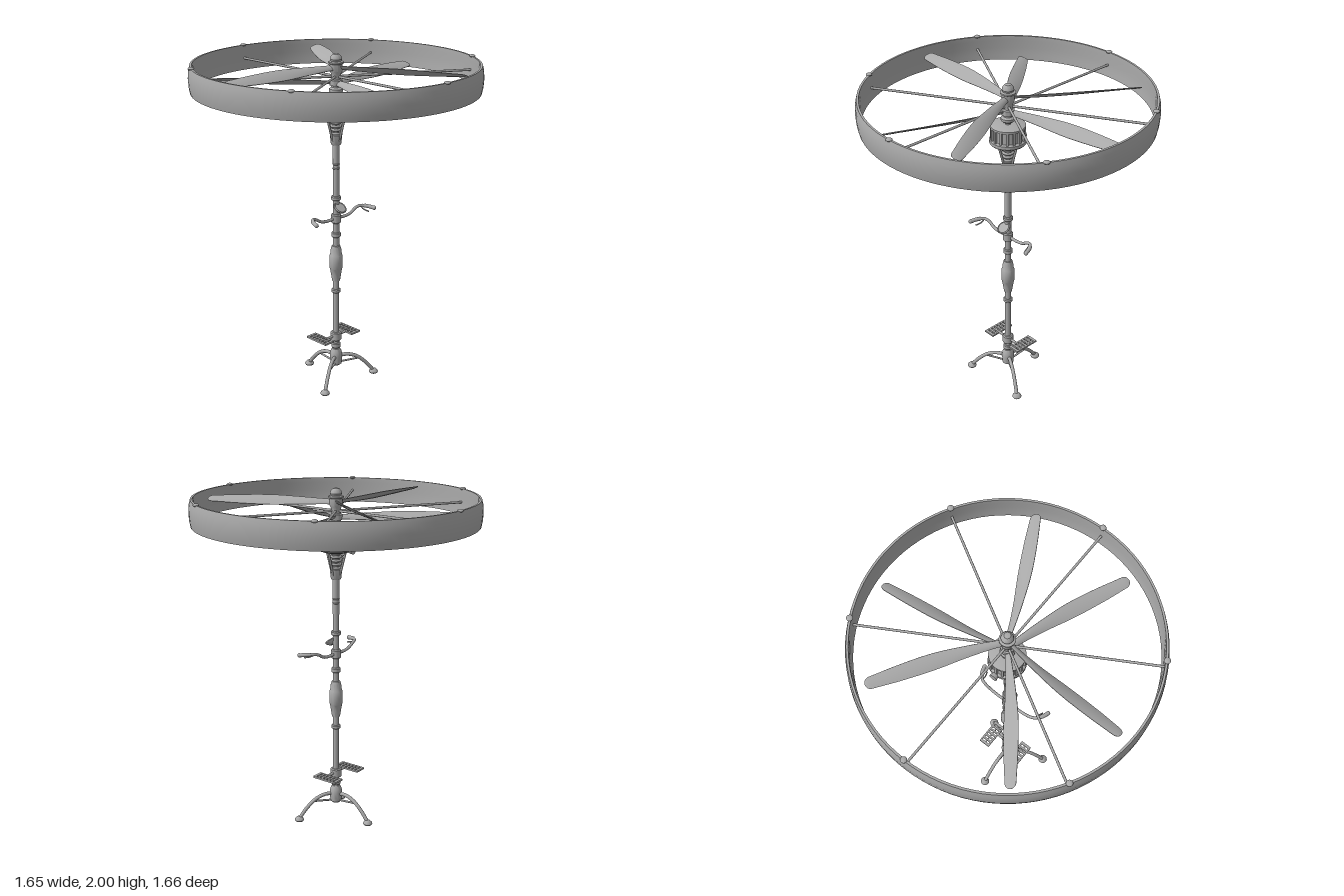
import * as THREE from 'three';
import { toCreasedNormals } from 'three/addons/utils/BufferGeometryUtils.js';

const grey = new THREE.MeshStandardMaterial({ color: 0xaaaaaa });
grey.name = 'plain grey';

const V = (x, y, z) => new THREE.Vector3(x, y, z);

export function createModel() {
  const model = new THREE.Group();
  model.name = 'personalRotorcraft';

  const add = (name, geo, parent = model) => {
    const m = new THREE.Mesh(geo, grey);
    m.name = name;
    parent.add(m);
    return m;
  };
  // profile of [radius, height] pairs, bottom to top
  const lathe = (name, pts, parent, seg = 32) => add(name,
    toCreasedNormals(new THREE.LatheGeometry(pts.map(p => new THREE.Vector2(...p)), seg), 0.6), parent);
  const collar = (name, y, h, r, b = 0.006) => lathe(name,
    [[0, y - h / 2], [r - b, y - h / 2], [r, y - h / 2 + b], [r, y + h / 2 - b], [r - b, y + h / 2], [0, y + h / 2]]);
  const tube = (name, pts, r, parent, seg = 20) =>
    add(name, new THREE.TubeGeometry(new THREE.CatmullRomCurve3(pts), seg, r, 10), parent);
  const rod = (name, a, b, r, parent) => {
    const m = add(name, new THREE.CylinderGeometry(r, r, a.distanceTo(b), 10), parent);
    m.position.copy(a).add(b).multiplyScalar(0.5);
    m.quaternion.setFromUnitVectors(V(0, 1, 0), b.clone().sub(a).normalize());
    return m;
  };
  const arm = (name, angle) => {
    const g = new THREE.Group();
    g.name = name;
    g.rotation.y = angle;
    model.add(g);
    return g;
  };

  // duct ring, closed profile
  lathe('ductRing', [[0.797, 1.80], [0.816, 1.80], [0.822, 1.83], [0.825, 1.875], [0.822, 1.92],
    [0.814, 1.95], [0.802, 1.95], [0.801, 1.92], [0.803, 1.875], [0.800, 1.83], [0.797, 1.80]], model, 96);

  // spokes with studs on the rim
  for (let i = 0; i < 6; i++) {
    const g = arm('spokeArm', Math.PI / 6 + i * Math.PI / 3);
    rod('spoke', V(0.02, 1.87, 0), V(0.806, 1.87, 0), 0.007, g);
    const stud = add('rimStud', new THREE.SphereGeometry(0.018, 16, 10), g);
    stud.position.set(0.81, 1.95, 0);
    stud.scale.y = 0.5;
  }

  // lens-section blades with twist; dir sets the rotor's handedness
  const chord = new THREE.SplineCurve([[0, 0.036], [0.2, 0.06], [0.45, 0.085], [0.7, 0.08], [1, 0.06]]
    .map(p => new THREE.Vector2(...p)));
  const blade = dir => {
    const geo = new THREE.BoxGeometry(1, 1, 1, 32, 1, 8);
    const p = geo.attributes.position;
    for (let i = 0; i < p.count; i++) {
      const t = Math.sin((p.getX(i) + 0.5) * Math.PI / 2);
      const tip = t > 0.96 ? Math.sqrt(Math.max(0, 1 - ((t - 0.96) / 0.04) ** 2)) : 1;
      const c = p.getZ(i) * chord.getPoint(t).y * tip;
      const thick = (0.003 + 0.011 * (1 - 4 * p.getZ(i) ** 2) * (1 - 0.5 * t)) * tip;
      const pitch = 0.72 - 0.32 * t;
      const bow = 0.055 * t * (1 - t) * (1.3 - t);
      const h = p.getY(i) * thick;
      p.setXYZ(i, 0.025 + 0.725 * t,
        dir * c * Math.sin(pitch) + h * Math.cos(pitch),
        dir * bow + c * Math.cos(pitch) - dir * h * Math.sin(pitch));
    }
    geo.computeVertexNormals();
    return geo;
  };
  for (const [name, y, start, dir] of [['lowerBlade', 1.835, 9.5, -1], ['upperBlade', 1.92, 56.5, 1]]) {
    const geo = blade(dir);
    for (let i = 0; i < 3; i++) {
      const b = add(name, geo);
      b.position.y = y;
      b.rotation.y = THREE.MathUtils.degToRad(start + i * 120);
    }
  }

  // hub stack and cap
  lathe('rotorHub', [[0, 1.778], [0.032, 1.778], [0.04, 1.786], [0.04, 1.80], [0.028, 1.81], [0.028, 1.818],
    [0.036, 1.82], [0.036, 1.85], [0.028, 1.855], [0.028, 1.885], [0.036, 1.9], [0.036, 1.94], [0.044, 1.945],
    [0.044, 1.953], [0.03, 1.957], [0.034, 1.968], [0.03, 1.983], [0.018, 1.996], [0, 2.0]]);
  add('rotorShaft', new THREE.CylinderGeometry(0.016, 0.016, 0.3, 16)).position.y = 1.77;

  // finned engine
  lathe('engineCore', [[0, 1.635], [0.07, 1.635], [0.098, 1.645], [0.105, 1.652], [0.105, 1.67], [0.09, 1.676],
    [0.088, 1.745], [0.1, 1.745], [0.1, 1.757], [0.09, 1.762], [0, 1.762]]);
  for (let i = 0; i < 16; i++) {
    const fin = add('engineFin', new THREE.BoxGeometry(0.018, 0.072, 0.014), arm('finArm', i * Math.PI / 8));
    fin.position.set(0.091, 1.71, 0);
  }
  const exhaust = add('exhaust', new THREE.CylinderGeometry(0.024, 0.014, 0.045, 16));
  exhaust.rotation.x = -Math.PI / 2;
  exhaust.position.set(0, 1.658, -0.1);

  // spring mount and struts
  for (let i = 0; i < 5; i++) {
    const coil = add('springCoil', new THREE.TorusGeometry(0.028, 0.008, 8, 24));
    coil.rotation.x = Math.PI / 2;
    coil.position.y = 1.545 + i * 0.021;
  }
  for (let i = 0; i < 4; i++)
    rod('engineStrut', V(0.07, 1.645, 0), V(0.027, 1.5, 0), 0.007, arm('strutArm', i * Math.PI / 2));
  lathe('mountCup', [[0, 1.475], [0.026, 1.475], [0.03, 1.482], [0.036, 1.535], [0.03, 1.542], [0, 1.542]]);

  // column and its collars
  add('column', new THREE.CylinderGeometry(0.019, 0.019, 1.53, 24)).position.y = 0.875;
  for (const [y, h, r] of [[1.36, 0.012, 0.022], [1.335, 0.012, 0.022], [1.155, 0.026, 0.029], [0.93, 0.03, 0.028],
    [0.575, 0.024, 0.028], [0.217, 0.032, 0.028]]) collar('columnCollar', y, h, r, 0.005);
  collar('handlebarClamp', 1.03, 0.055, 0.03);
  collar('pedalClamp', 0.278, 0.056, 0.033);
  lathe('columnSwell', [[0, 0.64], [0.024, 0.64], [0.03, 0.68], [0.036, 0.715], [0.038, 0.72], [0.039, 0.76],
    [0.038, 0.80], [0.035, 0.805], [0.031, 0.84], [0.025, 0.86], [0, 0.865]]);

  // tilted gauge
  const gauge = new THREE.Group();
  gauge.name = 'gauge';
  gauge.position.set(0, 1.1, 0.032);
  gauge.rotation.x = 0.68;
  model.add(gauge);
  lathe('gaugeCase', [[0, -0.02], [0.02, -0.02], [0.038, -0.002], [0.041, 0.004], [0.036, 0.01], [0.033, 0.006],
    [0, 0.006]], gauge);

  for (const s of [-1, 1]) {
    // handlebar, grip and lever
    tube('handlebar', [V(0, 1.032, 0), V(s * 0.07, 1.028, 0), V(s * 0.12, 1.036, 0), V(s * 0.165, 1.06, 0),
      V(s * 0.195, 1.068, 0.01), V(s * 0.216, 1.066, 0.035)], 0.009);
    tube('grip', [V(s * 0.21, 1.067, 0.025), V(s * 0.225, 1.064, 0.05), V(s * 0.236, 1.06, 0.083)], 0.012);
    const end = add('gripEnd', new THREE.SphereGeometry(0.0125, 12, 8));
    end.position.set(s * 0.236, 1.06, 0.083);
    tube('lever', [V(s * 0.195, 1.064, 0.01), V(s * 0.195, 1.05, 0.035), V(s * 0.207, 1.04, 0.07)], 0.004);

    // slotted foot plate on an axle
    rod('pedalAxle', V(s * 0.025, 0.28, 0), V(s * 0.085, 0.28, 0), 0.008);
    const plate = new THREE.Shape([[-0.036, -0.082], [0.036, -0.082], [0.036, 0.082], [-0.036, 0.082]]
      .map(p => new THREE.Vector2(...p)));
    for (const x of [-0.015, 0.015])
      for (let i = 0; i < 6; i++) {
        const z = -0.06 + i * 0.024;
        plate.holes.push(new THREE.Path([[x - 0.011, z - 0.006], [x - 0.011, z + 0.006],
          [x + 0.011, z + 0.006], [x + 0.011, z - 0.006]].map(p => new THREE.Vector2(...p))));
      }
    const pedal = add('footPlate', new THREE.ExtrudeGeometry(plate, { depth: 0.011, bevelEnabled: false }));
    pedal.rotation.x = -Math.PI / 2;
    pedal.position.set(s * 0.11, 0.275, -0.022);
  }

  // tripod base
  lathe('baseBody', [[0, 0.085], [0.022, 0.085], [0.034, 0.095], [0.036, 0.12], [0.038, 0.15], [0.034, 0.175],
    [0.024, 0.195], [0, 0.197]]);
  for (let i = 0; i < 3; i++) {
    const g = arm('legArm', Math.PI / 2 + i * Math.PI * 2 / 3);
    tube('leg', [V(0.02, 0.142, 0), V(0.07, 0.145, 0), V(0.13, 0.125, 0), V(0.19, 0.075, 0), V(0.235, 0.02, 0)],
      0.011, g);
    rod('legBrace', V(0.02, 0.1, 0), V(0.15, 0.112, 0), 0.006, g);
    lathe('foot', [[0, 0], [0.024, 0], [0.028, 0.006], [0.026, 0.014], [0.014, 0.026], [0, 0.029]], g, 20)
      .position.x = 0.24;
  }
  return model;
}
